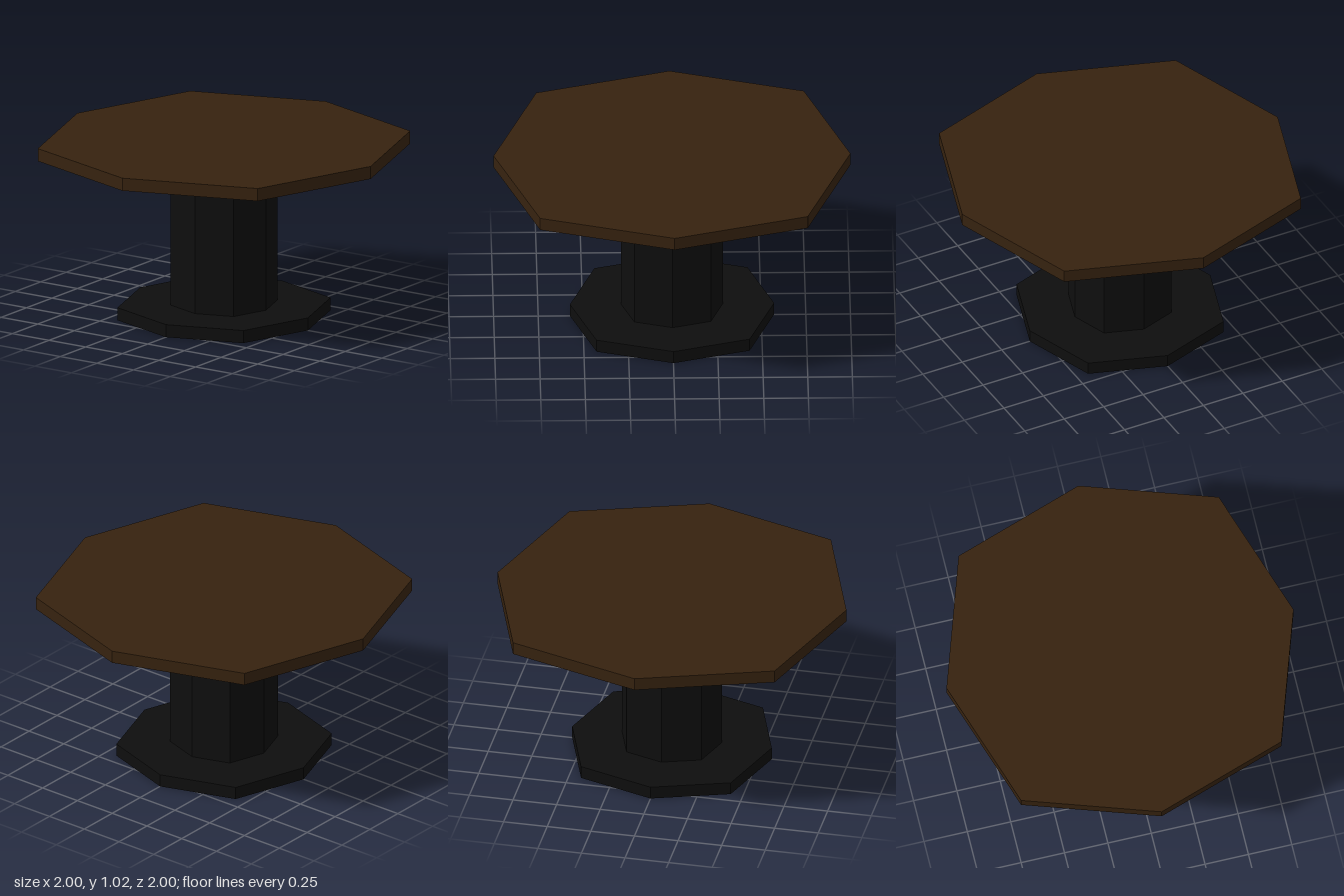
import * as THREE from 'three';

// Eight-sided slab: points on the axes at r, diagonal corners at (0.75 r, 0.75 r)
function octagonSlab(r, bottom, top) {
  const points = [];
  for (let i = 0; i < 8; i++) {
    const a = (i * Math.PI) / 4;
    const d = i % 2 ? r * 0.75 * Math.SQRT2 : r;
    points.push(new THREE.Vector2(Math.cos(a) * d, Math.sin(a) * d));
  }
  const geometry = new THREE.ExtrudeGeometry(new THREE.Shape(points), {
    depth: top - bottom,
    bevelEnabled: false,
  });
  geometry.rotateX(-Math.PI / 2);
  geometry.translate(0, bottom, 0);
  return geometry;
}

export function createModel() {
  const wood = new THREE.MeshStandardMaterial({ color: 0x36220f });
  wood.name = 'darkWood';
  const black = new THREE.MeshStandardMaterial({ color: 0x0e0e0e });
  black.name = 'black';

  const table = new THREE.Group();
  table.name = 'pedestalTable';

  // name, radius, bottom, top, material
  const parts = [
    ['foot', 0.572, 0, 0.073, black],
    ['column', 0.286, 0.073, 0.862, black],
    ['topSupport', 0.572, 0.862, 0.946, black],
    ['tableTop', 1, 0.946, 1.019, wood],
  ];
  for (const [name, radius, bottom, top, material] of parts) {
    const mesh = new THREE.Mesh(octagonSlab(radius, bottom, top), material);
    mesh.name = name;
    table.add(mesh);
  }
  return table;
}
